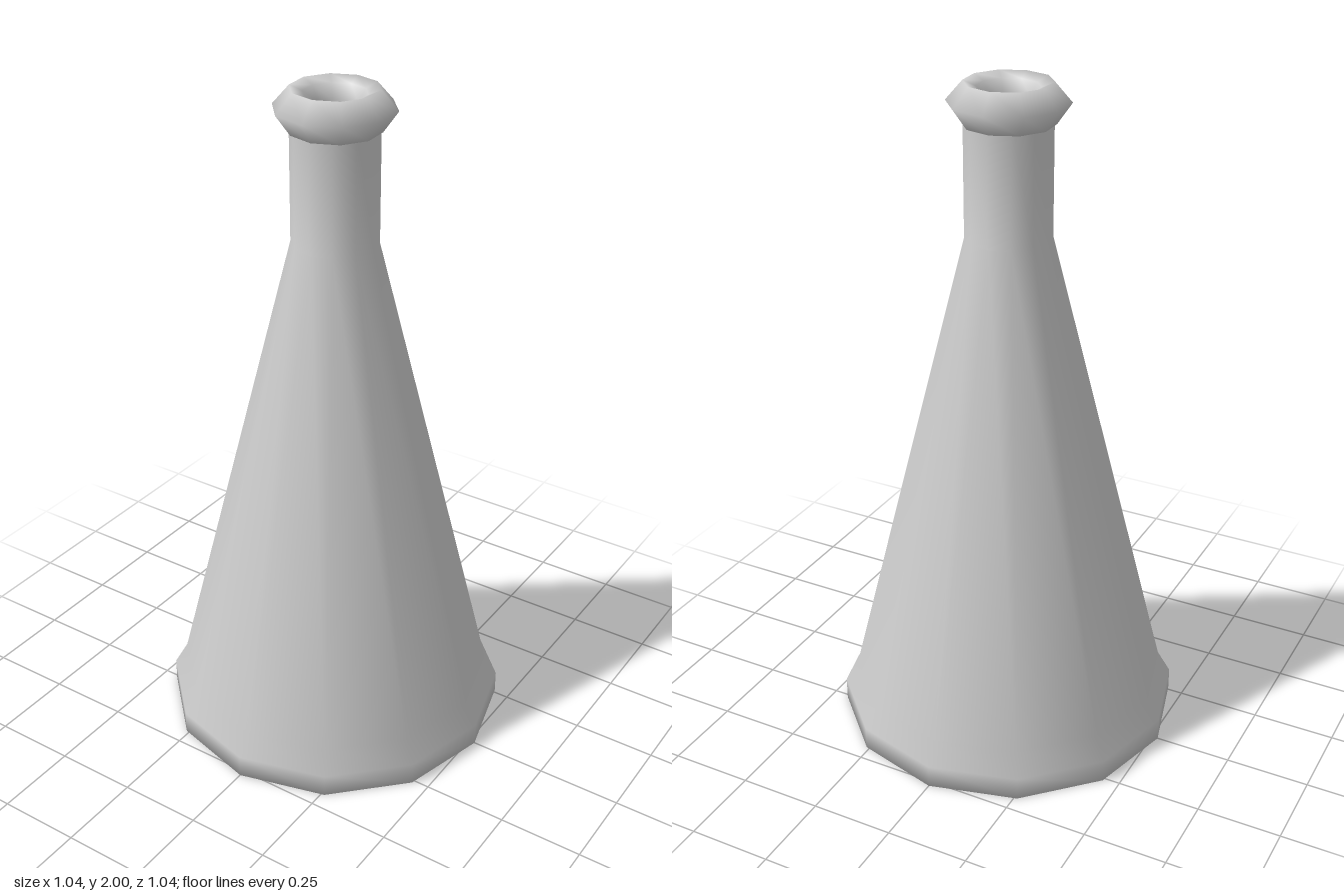
import * as THREE from 'three';

export function createModel() {
  const group = new THREE.Group();
  const material = new THREE.MeshStandardMaterial({ color: 0xcccccc });
  const add = (name, geometry) => {
    const mesh = new THREE.Mesh(geometry, material);
    mesh.name = name;
    group.add(mesh);
  };
  const lathe = (points, sides, start = 0) =>
    new THREE.LatheGeometry(points.map(([r, y]) => new THREE.Vector2(r, y)), sides, start);

  // Dished base, flared foot, conical body and straight neck
  add('flaskBody', lathe([
    [0, 0.06], [0.3, 0.05], [0.47, 0], [0.52, 0], [0.52, 0.07], [0.48, 0.14],
    [0.125, 1.56], [0.125, 1.94],
  ], 12));

  // Angular lip running into a tapering bore, turned slightly against the body
  const boreRadius = 0.06;
  const boreFloor = 1.8;
  const turn = THREE.MathUtils.degToRad(4);
  add('lipRing', lathe([
    [0.11, 1.887], [0.131, 1.885], [0.173, 1.945], [0.125, 2],
    [0.09, 1.985], [0.068, 1.945], [boreRadius, boreFloor],
  ], 10, turn));

  // Flat floor of the bore
  const floor = new THREE.CircleGeometry(boreRadius, 10, turn);
  add('boreFloor', floor.rotateX(-Math.PI / 2).translate(0, boreFloor, 0));

  return group;
}
